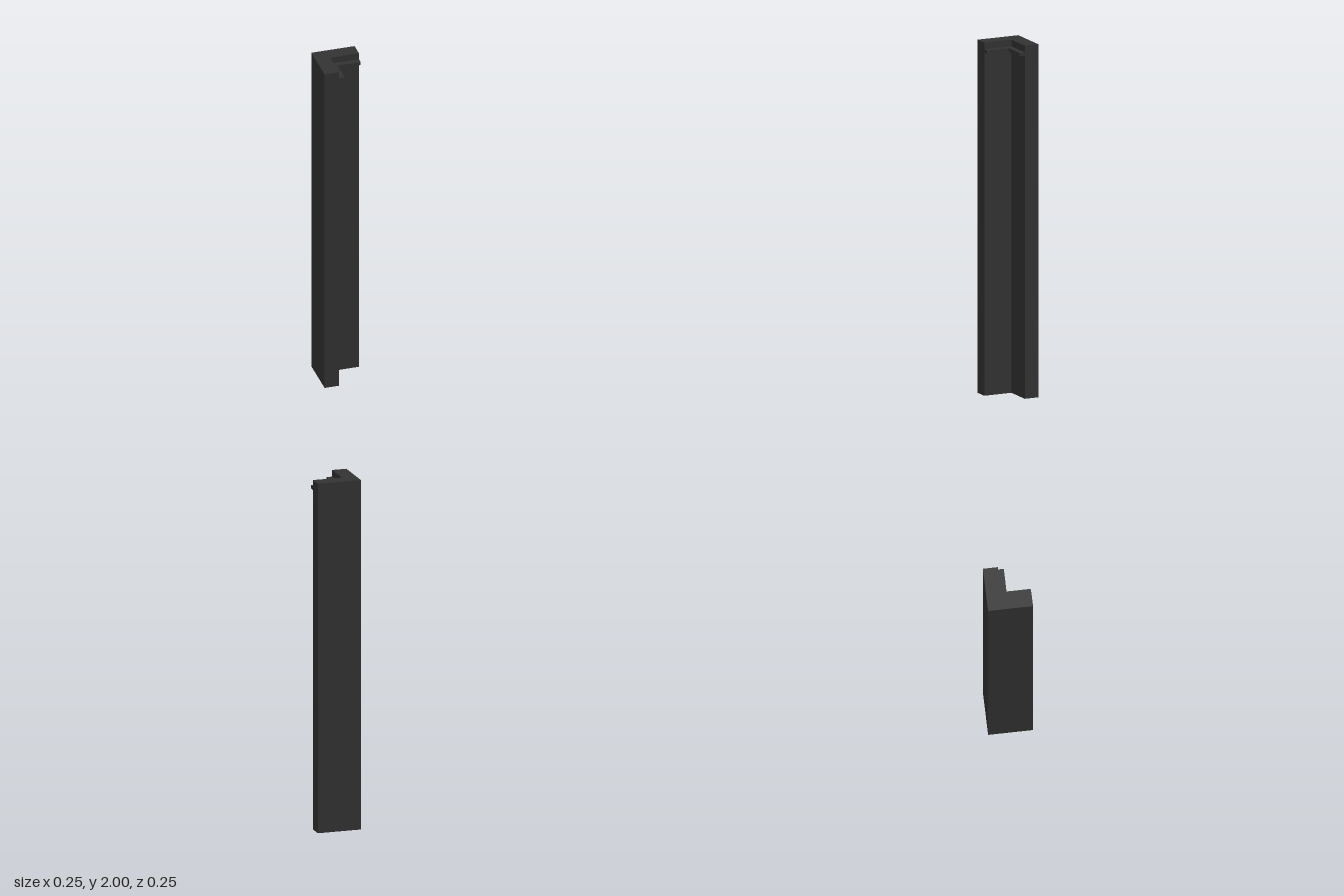
import * as THREE from 'three';

const HALF = 0.125; // half of the outer width

// Upright L-shaped prism: outer corner at (a, a), inner corner at (b, b) in x/z
function angleProfile(a, b, y, height) {
  const shape = new THREE.Shape([
    [a, -a], [HALF, -a], [HALF, -b], [b, -b], [b, -HALF], [a, -HALF],
  ].map(([x, v]) => new THREE.Vector2(x, v)));
  const geo = new THREE.ExtrudeGeometry(shape, { depth: height, bevelEnabled: false });
  geo.rotateX(-Math.PI / 2); // shape v becomes -z, depth becomes y
  geo.translate(0, y, 0);
  return geo;
}

export function createModel() {
  const group = new THREE.Group();
  const dark = new THREE.MeshStandardMaterial({ color: 0x333333 });
  const add = (name, geo) => {
    const mesh = new THREE.Mesh(geo, dark);
    mesh.name = name;
    group.add(mesh);
  };

  // Full-height corner post
  add('cornerPost', angleProfile(-HALF, -0.042, 0, 2));
  // Thin ledge running along both inner faces near the top
  add('innerLedge', angleProfile(-0.042, -0.009, 1.943, 0.019));

  return group;
}
